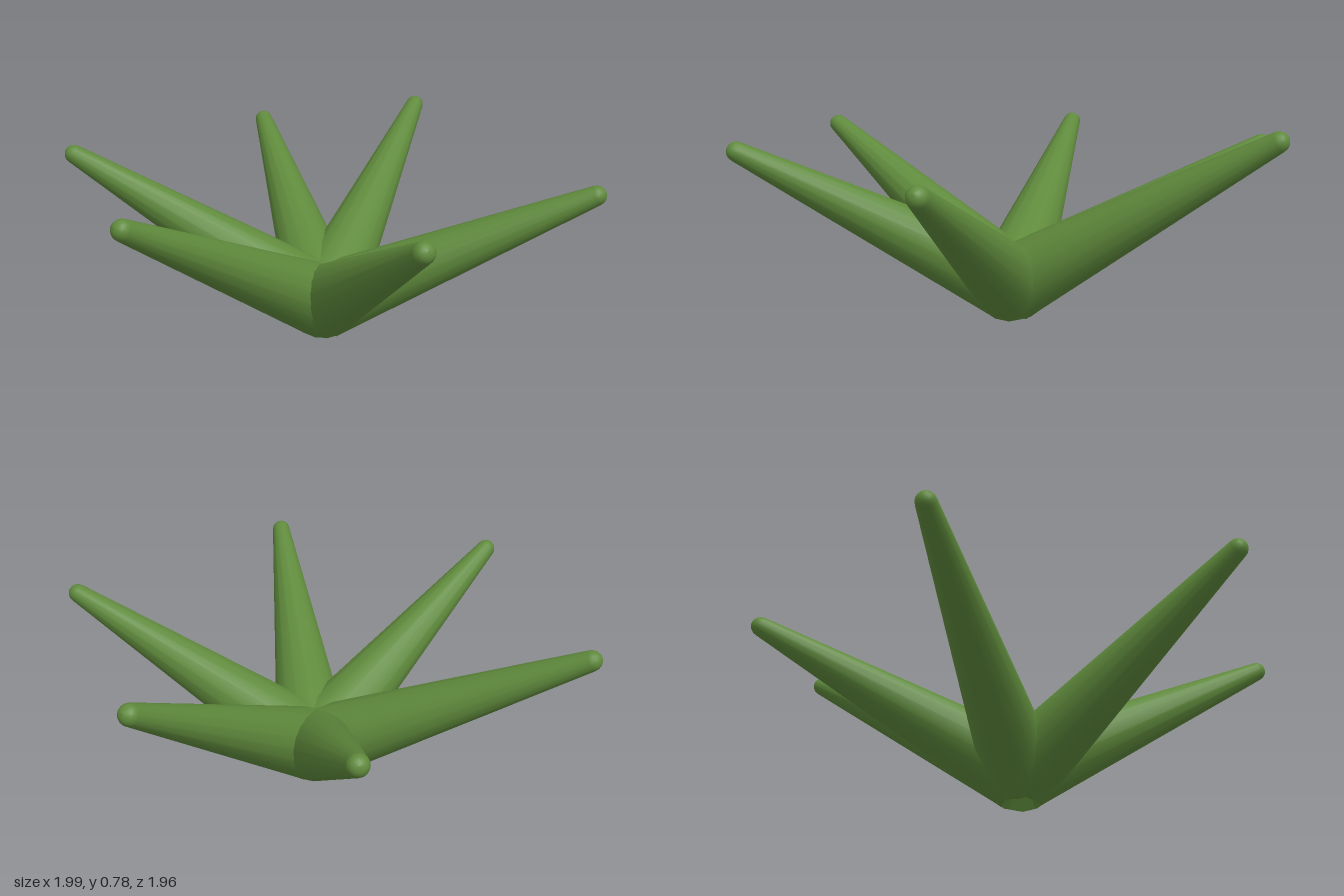
import * as THREE from 'three';

export function createModel() {
  const model = new THREE.Group();
  model.name = 'spikyPlant';
  const leafGreen = new THREE.MeshStandardMaterial({ color: 0x5f8a3c });
  leafGreen.name = 'leafGreen';

  // All leaves grow from one root; each is given by the end of its tip
  const root = new THREE.Vector3(0, 0.13, -0.05);
  const tips = [
    [-0.505, 0.76, -0.975],
    [0.795, 0.65, -0.745],
    [0.99, 0.695, 0.31],
    [0.275, 0.71, 0.975],
    [-0.81, 0.695, 0.645],
    [-0.99, 0.675, -0.43],
  ];
  const sides = 16, baseRadius = 0.15, tipRadius = 0.038;
  const up = new THREE.Vector3(0, 1, 0);

  tips.forEach((tip, i) => {
    const axis = new THREE.Vector3(...tip).sub(root);
    const length = axis.length();

    // Straight taper closed by a rounded tip
    const profile = [new THREE.Vector2(baseRadius, 0)];
    for (let k = 0; k <= 4; k++) {
      const a = (k / 4) * Math.PI / 2;
      profile.push(new THREE.Vector2(
        k === 4 ? 0 : tipRadius * Math.cos(a),
        length - tipRadius * (1 - Math.sin(a))));
    }
    const leaf = new THREE.Group();
    leaf.name = `leaf${i + 1}`;
    const blade = new THREE.Mesh(new THREE.LatheGeometry(profile, sides), leafGreen);
    blade.name = 'leafBlade';

    // Flat end at the root
    const end = new THREE.Mesh(
      new THREE.CircleGeometry(baseRadius, sides).rotateX(Math.PI / 2), leafGreen);
    end.name = 'leafBase';

    leaf.add(blade, end);
    leaf.position.copy(root);
    leaf.quaternion.setFromUnitVectors(up, axis.normalize());
    model.add(leaf);
  });
  return model;
}
